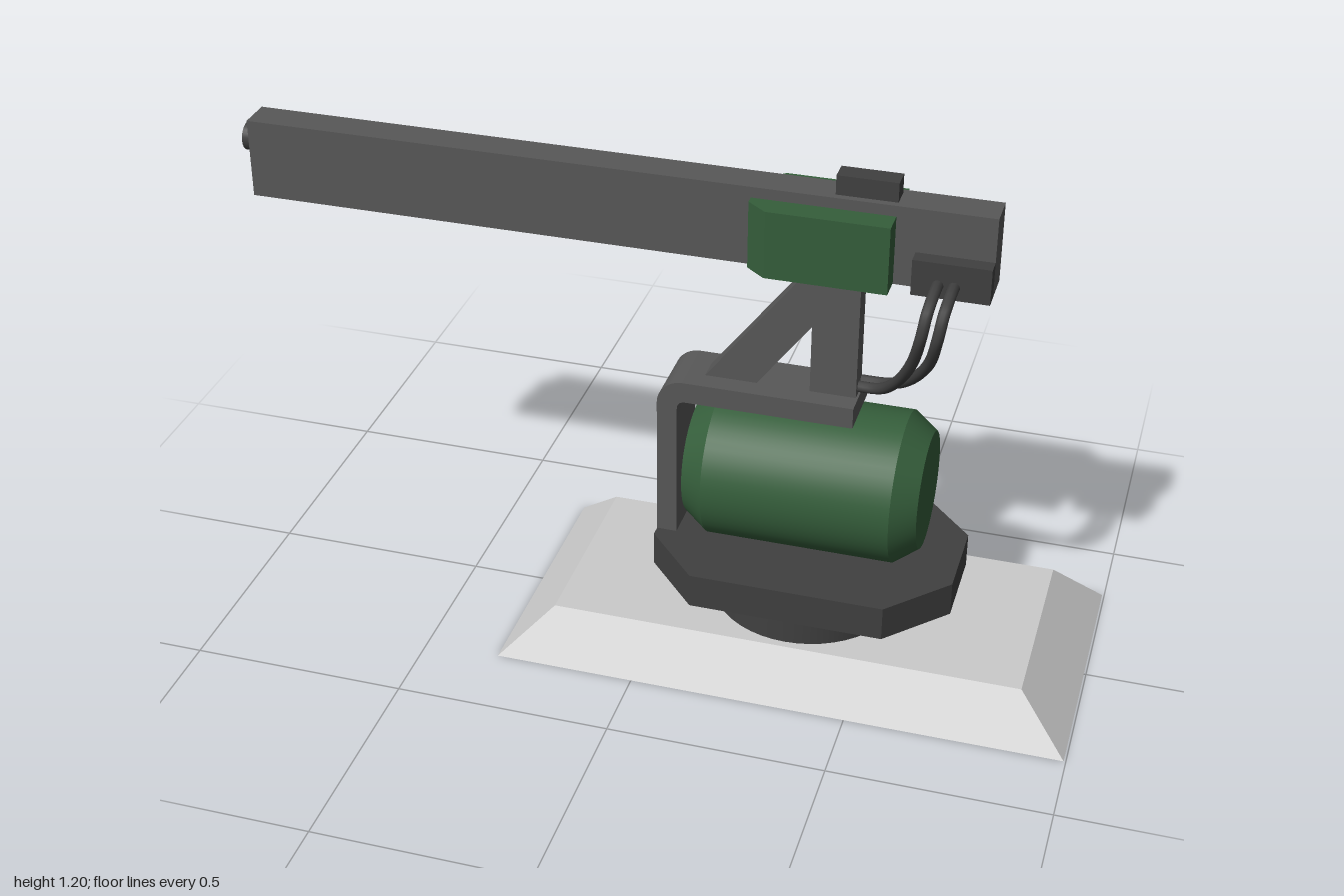
import * as THREE from 'three';
import { toCreasedNormals } from 'three/addons/utils/BufferGeometryUtils.js';

const mat = (color) => new THREE.MeshStandardMaterial({ color });

export function createModel() {
  const root = new THREE.Group();
  const light = mat(0xcccccc), dark = mat(0x404040), steel = mat(0x585858), green = mat(0x355e3b);

  const add = (name, geometry, material) => {
    const mesh = new THREE.Mesh(geometry, material);
    mesh.name = name;
    root.add(mesh);
    return mesh;
  };
  // Box given by its lower and upper limits on each axis
  const box = (name, [x0, x1], [y0, y1], [z0, z1], material) =>
    add(name, new THREE.BoxGeometry(x1 - x0, y1 - y0, z1 - z0)
      .translate((x0 + x1) / 2, (y0 + y1) / 2, (z0 + z1) / 2), material);
  const polygon = (points) => new THREE.Shape(points.map(([x, y]) => new THREE.Vector2(x, y)));
  // Side profile in x/y, extruded symmetrically over z
  const slab = (shape, width) => new THREE.ExtrudeGeometry(shape,
    { depth: width, bevelEnabled: false, curveSegments: 8 }).translate(0, 0, -width / 2);
  // Plan outline in x/z, extruded upwards
  const plate = (points, y0, height) => new THREE.ExtrudeGeometry(polygon(points),
    { depth: height, bevelEnabled: false }).rotateX(-Math.PI / 2).translate(0, y0, 0);

  // Sloped base: a box whose upper corners are pulled inwards
  const base = new THREE.BoxGeometry(1.32, 0.11, 0.64).translate(0, 0.055, 0);
  const p = base.attributes.position;
  for (let i = 0; i < p.count; i++) {
    if (p.getY(i) > 0.05) p.setXYZ(i, Math.sign(p.getX(i)) * 0.545, 0.11, Math.sign(p.getZ(i)) * 0.236);
  }
  base.translate(0.335, 0, 0);
  base.computeVertexNormals();
  add('base', base, light);

  // Turntable and chamfered deck
  add('turntable', new THREE.CylinderGeometry(0.218, 0.218, 0.07, 48).translate(0.335, 0.145, 0), dark);
  add('deck', plate([
    [-0.01, -0.1], [0.115, -0.237], [0.56, -0.237], [0.69, -0.1],
    [0.69, 0.1], [0.56, 0.237], [0.115, 0.237], [-0.01, 0.1],
  ], 0.18, 0.082), dark);

  // Horizontal drum with bevelled ends
  const drumProfile = [[0, -0.27], [0.135, -0.27], [0.175, -0.215], [0.175, 0.215], [0.135, 0.27], [0, 0.27]]
    .map(([r, y]) => new THREE.Vector2(r, y));
  const drum = toCreasedNormals(new THREE.LatheGeometry(drumProfile, 48), 0.4);
  add('drum', drum.rotateZ(-Math.PI / 2).translate(0.335, 0.437, 0), green);

  // Bent bracket reaching over the drum
  const bracket = new THREE.Shape();
  bracket.moveTo(-0.01, 0.24);
  bracket.lineTo(0.037, 0.24);
  bracket.lineTo(0.037, 0.595);
  bracket.quadraticCurveTo(0.037, 0.615, 0.057, 0.615);
  bracket.lineTo(0.44, 0.615);
  bracket.lineTo(0.44, 0.665);
  bracket.lineTo(0.05, 0.665);
  bracket.absarc(0.05, 0.605, 0.06, Math.PI / 2, Math.PI, false);
  bracket.closePath();
  add('bracket', toCreasedNormals(slab(bracket, 0.15), 0.5), steel);

  // Post and diagonal strut carrying the beam
  box('post', [0.33, 0.435], [0.66, 0.98], [-0.027, 0.027], steel);
  add('strut', slab(polygon([[0.085, 0.66], [0.205, 0.66], [0.335, 0.835], [0.335, 0.975], [0.325, 0.975]]), 0.053), steel);

  // Long beam with its fittings
  box('beam', [-0.98, 0.72], [0.97, 1.155], [-0.04, 0.04], steel);
  add('beamTip', new THREE.CylinderGeometry(0.033, 0.033, 0.04, 24)
    .rotateZ(Math.PI / 2).translate(-0.98, 1.1, 0), dark);
  box('topBlock', [0.37, 0.505], [1.15, 1.2], [-0.024, 0.024], dark);
  box('connectorBox', [0.55, 0.72], [0.97, 1.053], [0.03, 0.076], dark);

  // Side housings, chamfered towards the long end of the beam
  for (const s of [1, -1]) {
    const outline = [[0.19, 0.03], [0.505, 0.03], [0.505, 0.097], [0.235, 0.097], [0.19, 0.06]];
    const points = outline.map(([x, z]) => [x, s * z]);
    add(s > 0 ? 'rearHousing' : 'frontHousing', plate(points, 0.972, 0.158), green);
  }

  // Pair of hoses looping from the connector box to the foot of the post
  for (const [dx, dz] of [[0, 0], [0.035, -0.028]]) {
    const path = new THREE.CatmullRomCurve3([
      [0.607 + dx, 1.0, 0.06], [0.606 + dx, 0.998, 0.115], [0.602 + dx, 0.975, 0.158],
      [0.595 + dx, 0.925, 0.17], [0.572 + dx, 0.835, 0.128 + dz * 0.2],
      [0.53 + dx * 0.7, 0.745, 0.065 + dz * 0.6], [0.485 + dx * 0.4, 0.694, 0.02 + dz], [0.425, 0.68, 0.0 + dz],
    ].map((v) => new THREE.Vector3(...v)));
    add('hose', new THREE.TubeGeometry(path, 40, 0.013, 10), dark);
  }
  return root;
}
